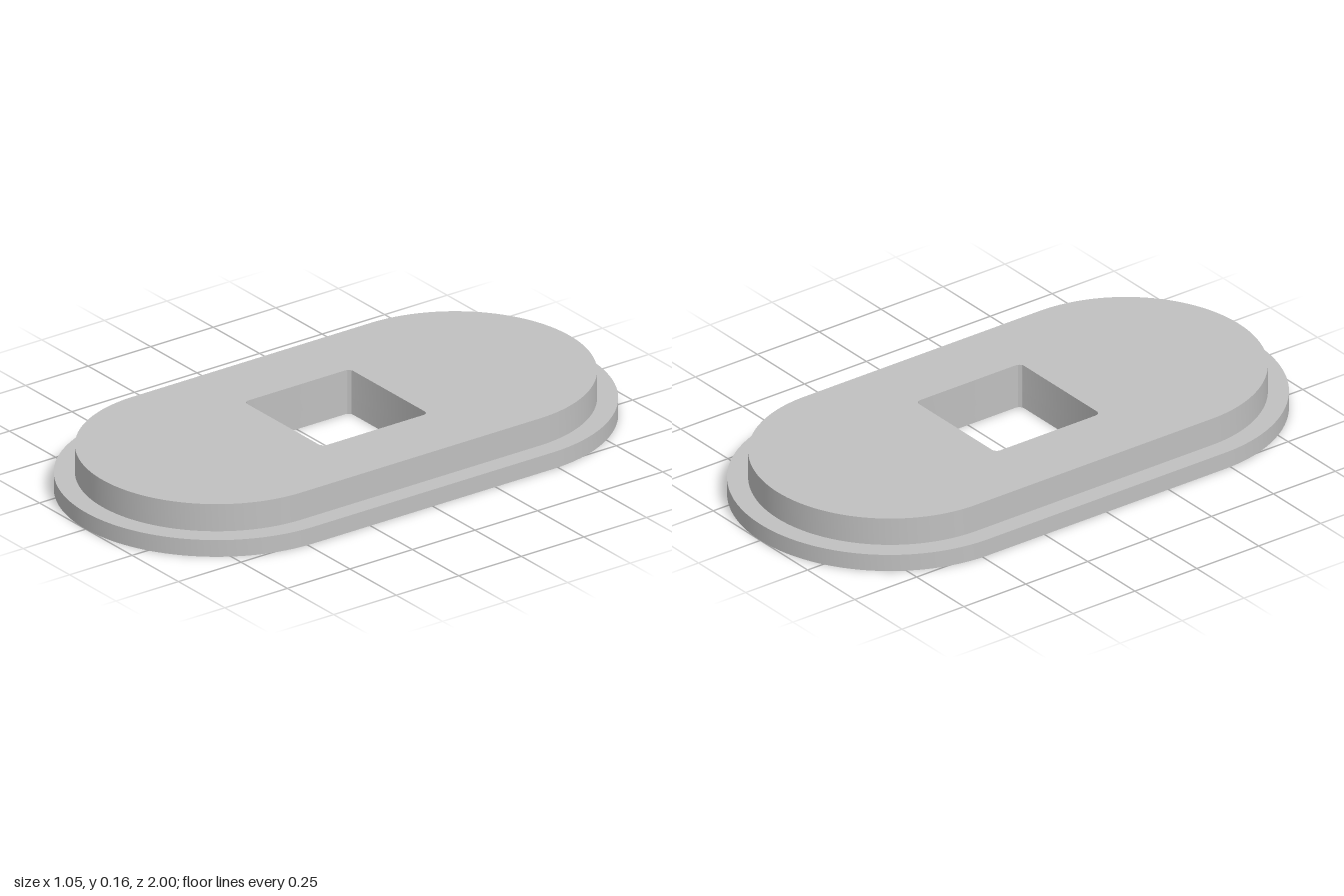
import * as THREE from 'three';
import { toCreasedNormals } from 'three/addons/utils/BufferGeometryUtils.js';

// Rounded rectangle outline, centred on the origin
function roundedOutline(path, halfW, halfL, r) {
  const x = halfW - r, y = halfL - r;
  path.absarc(x, y, r, 0, Math.PI / 2);
  path.absarc(-x, y, r, Math.PI / 2, Math.PI);
  path.absarc(-x, -y, r, Math.PI, Math.PI * 1.5);
  path.absarc(x, -y, r, Math.PI * 1.5, Math.PI * 2);
  path.closePath();
  return path;
}

// Stadium-shaped plate with the square through-hole
function plate(name, halfW, halfL, y0, y1, material) {
  const shape = roundedOutline(new THREE.Shape(), halfW, halfL, halfW - 0.0005);
  shape.holes.push(roundedOutline(new THREE.Path(), 0.212, 0.212, 0.02));
  const extruded = new THREE.ExtrudeGeometry(shape, {
    depth: y1 - y0, bevelEnabled: false, curveSegments: 24,
  });
  extruded.rotateX(-Math.PI / 2);
  extruded.translate(0, y0, 0);
  const mesh = new THREE.Mesh(toCreasedNormals(extruded, 0.6), material);
  mesh.name = name;
  return mesh;
}

export function createModel() {
  const group = new THREE.Group();
  group.name = 'steppedPlate';
  const grey = new THREE.MeshStandardMaterial({ color: 0xc0c0c0 });
  grey.name = 'light grey';

  // Wide base flange, then the narrower raised body
  group.add(plate('baseFlange', 0.523, 1, 0, 0.059, grey));
  group.add(plate('raisedBody', 0.456, 0.932, 0.059, 0.155, grey));
  return group;
}
